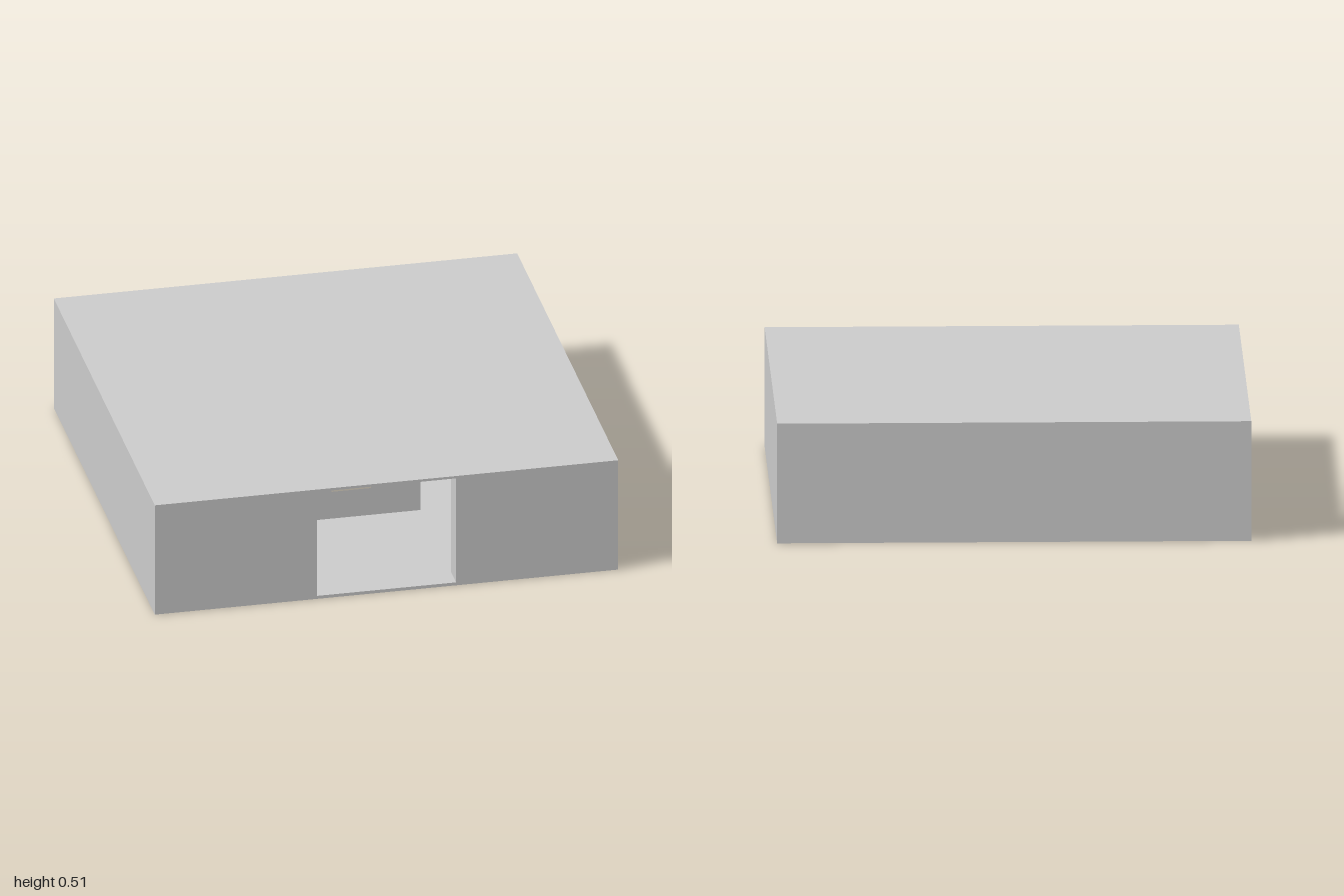
import * as THREE from 'three';

const H = 0.515;                 // overall height
const FLOOR = 0.014, CEIL = 0.504;
const ROOM = 0.9, CORE = 0.3;    // half widths of the room and the central shaft

const plaster = new THREE.MeshStandardMaterial({ color: 0xcccccc, side: THREE.DoubleSide });
plaster.name = 'paleGrey';

// closed outline from corner pairs
const outline = (pts, Kind = THREE.Shape) => new Kind(pts.map(([x, y]) => new THREE.Vector2(x, y)));
const rect = (x0, y0, x1, y1, Kind) => outline([[x0, y0], [x1, y0], [x1, y1], [x0, y1]], Kind);

function sheet(name, shape, holes = []) {
  shape.holes.push(...holes);
  const mesh = new THREE.Mesh(new THREE.ShapeGeometry(shape), plaster);
  mesh.name = name;
  return mesh;
}

// four upright walls around a square; makeWall(i) gives the sheet for side i (0 front, 1 left, 2 back, 3 right)
function fourWalls(name, half, makeWall) {
  const group = new THREE.Group();
  group.name = name;
  for (let i = 0; i < 4; i++) {
    const wall = makeWall(i);
    wall.rotation.y = i * Math.PI / 2;
    wall.position.set(Math.sin(wall.rotation.y) * half, 0, Math.cos(wall.rotation.y) * half);
    group.add(wall);
  }
  return group;
}

// wall outline with a doorway in the front side only
const doorway = () => rect(-CORE, FLOOR, CORE, CEIL, THREE.Path);

export function createModel() {
  const model = new THREE.Group();
  model.name = 'building';

  // outer skin and flat roof, open underneath
  model.add(fourWalls('outerWalls', 1, i =>
    sheet('outerWall', rect(-1, 0, 1, H), i === 0 ? [doorway()] : [])));
  const roof = sheet('roof', rect(-1, -1, 1, 1));
  roof.rotation.x = -Math.PI / 2;
  roof.position.y = H;
  model.add(roof);

  // inner room walls; the front one is split around the doorway
  model.add(fourWalls('roomWalls', ROOM, i => {
    if (i > 0) return sheet('roomWall', rect(-ROOM, FLOOR, ROOM, CEIL));
    const front = new THREE.Group();
    front.name = 'frontRoomWall';
    for (const s of [-1, 1]) {
      const half = sheet('frontRoomWallHalf', rect(CORE, FLOOR, ROOM, CEIL));
      half.scale.x = s;
      front.add(half);
    }
    return front;
  }));

  // doorway side linings
  for (const s of [-1, 1]) {
    const jamb = sheet('doorJamb', rect(-1, FLOOR, -ROOM, CEIL));
    jamb.rotation.y = Math.PI / 2;
    jamb.position.x = s * CORE;
    model.add(jamb);
  }

  // floor and ceiling run out through the doorway; the floor is open under the shaft
  const slab = () => outline([
    [-ROOM, ROOM], [-ROOM, -ROOM], [-CORE, -ROOM], [-CORE, -1],
    [CORE, -1], [CORE, -ROOM], [ROOM, -ROOM], [ROOM, ROOM]]);
  const floor = sheet('floor', slab(), [rect(-CORE, -CORE, CORE, CORE, THREE.Path)]);
  floor.position.y = FLOOR;
  const ceiling = sheet('ceiling', slab());
  ceiling.position.y = CEIL;
  for (const s of [floor, ceiling]) {
    s.rotation.x = -Math.PI / 2;
    model.add(s);
  }

  // central shaft with one window per side, wider on the left and right
  model.add(fourWalls('shaftWalls', CORE, i => {
    const w = i % 2 ? 0.165 : 0.085;
    return sheet('shaftWall', rect(-CORE, FLOOR, CORE, CEIL), [rect(-w, 0.14, w, 0.39, THREE.Path)]);
  }));

  return model;
}
